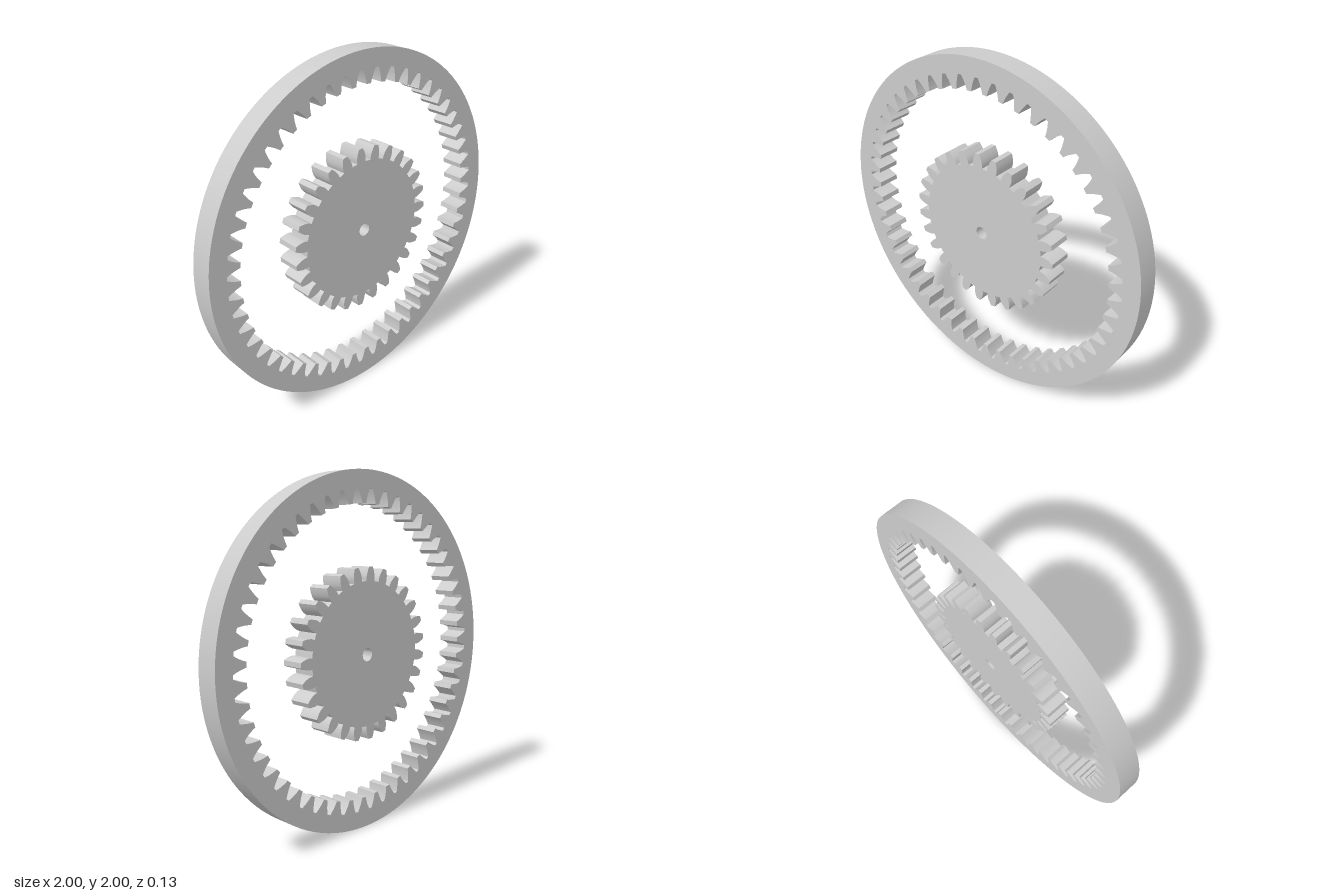
import * as THREE from 'three';
import { toCreasedNormals } from 'three/addons/utils/BufferGeometryUtils.js';

const DEPTH = 0.134;
const PRESSURE = THREE.MathUtils.degToRad(20);
const involute = (a) => Math.tan(a) - a;

// Closed outline of an involute gear, with one tooth centred on +x
function gearOutline(teeth, pitchR, rootR, tipR, thickness = 1) {
  const baseR = pitchR * Math.cos(PRESSURE);
  const halfAngle = (r) => {
    const a = Math.acos(Math.min(1, baseR / r));
    return (Math.PI / 2 / teeth) * thickness + involute(PRESSURE) - involute(a);
  };
  const steps = 7;
  const points = [];
  const add = (r, a) => points.push(new THREE.Vector2(r * Math.cos(a), r * Math.sin(a)));
  for (let t = 0; t < teeth; t++) {
    const mid = (t / teeth) * Math.PI * 2;
    const radius = (i) => rootR + ((tipR - rootR) * i) / steps;
    for (let i = 0; i <= steps; i++) add(radius(i), mid - halfAngle(radius(i)));
    for (let i = steps; i >= 0; i--) add(radius(i), mid + halfAngle(radius(i)));
    // middle of the valley keeps the root round
    add(rootR, mid + Math.PI / teeth);
  }
  return points;
}

function circle(r, segments) {
  return Array.from({ length: segments }, (_, i) => {
    const a = (i / segments) * Math.PI * 2;
    return new THREE.Vector2(r * Math.cos(a), r * Math.sin(a));
  });
}

function plate(name, outer, inner, material) {
  const shape = new THREE.Shape(outer);
  shape.holes.push(new THREE.Path(inner));
  const geometry = new THREE.ExtrudeGeometry(shape, { depth: DEPTH, bevelEnabled: false });
  geometry.translate(0, 0, -DEPTH / 2);
  const mesh = new THREE.Mesh(toCreasedNormals(geometry, 0.35), material);
  mesh.name = name;
  mesh.position.y = 1;
  return mesh;
}

export function createModel() {
  const group = new THREE.Group();
  group.name = 'gearSet';
  const material = new THREE.MeshStandardMaterial({ color: 0xcccccc });

  // Outer ring with 51 internal teeth
  group.add(plate('ringGear', circle(1, 160), gearOutline(51, 0.86, 0.823, 0.901, 1.03), material));

  // Central gear with 27 teeth and a shaft hole
  group.add(plate('sunGear', gearOutline(27, 0.455, 0.408, 0.486), circle(0.037, 32), material));

  return group;
}
